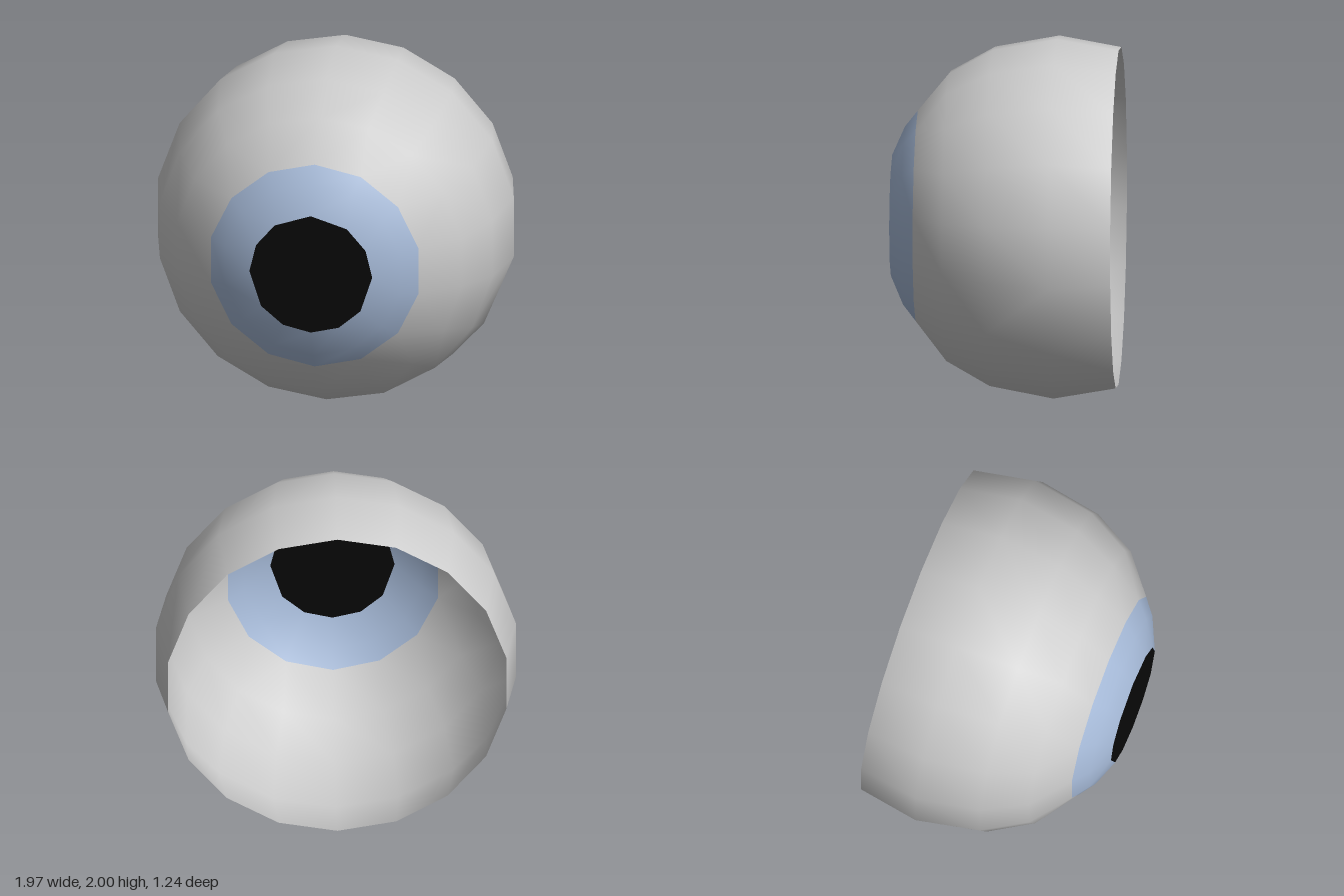
import * as THREE from 'three';

const CENTRE = new THREE.Vector3(0, 1, -0.28);

// Angles run from the top (0) towards +x, in degrees
const even = n => Array.from({ length: n }, (_, i) => (i * 360) / n);
// Mirrors a right-hand half, given from 0 to 180, into a full turn
const mirrored = half => [...half, ...half.slice(1, -1).reverse().map(a => 360 - a)];

const ring = (z, r, angles) => ({ z, r, angles });

// Joins rings, listed back to front, whose corner counts may differ
function shell(rings) {
  const positions = [], normals = [], index = [], starts = [];
  for (const { z, r, angles } of rings) {
    starts.push(positions.length / 3);
    for (const deg of [...angles, 360]) {
      const a = THREE.MathUtils.degToRad(deg);
      const p = new THREE.Vector3(Math.sin(a) * r, 1 + Math.cos(a) * r, z);
      positions.push(...p.toArray());
      normals.push(...p.sub(CENTRE).normalize().toArray());
    }
  }
  for (let k = 0; k + 1 < rings.length; k++) {
    const A = [...rings[k].angles, 360], B = [...rings[k + 1].angles, 360];
    const a0 = starts[k], b0 = starts[k + 1];
    let i = 0, j = 0;
    while (i < A.length - 1 || j < B.length - 1) {
      const stepA = j === B.length - 1 || (i < A.length - 1 && A[i + 1] <= B[j + 1]);
      if (stepA) {
        index.push(a0 + i, b0 + j, a0 + i + 1);
        i++;
      } else {
        index.push(a0 + i, b0 + j, b0 + j + 1);
        j++;
      }
    }
  }
  const g = new THREE.BufferGeometry();
  g.setAttribute('position', new THREE.Float32BufferAttribute(positions, 3));
  g.setAttribute('normal', new THREE.Float32BufferAttribute(normals, 3));
  g.setIndex(index);
  return g;
}

export function createModel() {
  const group = new THREE.Group();
  group.name = 'eyeball';
  const add = (name, geometry, color) => {
    const mesh = new THREE.Mesh(geometry, new THREE.MeshStandardMaterial({ color, side: THREE.DoubleSide }));
    mesh.name = name;
    group.add(mesh);
  };

  const irisEdge = ring(0.48, 0.59, even(14));
  const pupilEdge = ring(0.62, 0.34, mirrored([0, 36, 63, 90, 126, 153, 180]));

  // White of the eye, open at the back
  add('eyeWhite', shell([
    ring(-0.62, 0.94, even(18)),
    ring(-0.28, 1, mirrored([0, 20, 40, 60, 80, 100, 125, 140, 160, 180])),
    ring(0.07, 0.935, even(18)),
    ring(0.31, 0.8, even(18)),
    irisEdge,
  ]), 0xcccccc);

  // Coloured iris band
  add('iris', shell([irisEdge, ring(0.55, 0.5, even(14)), pupilEdge]), 0xa6bad8);

  // Flat pupil closing the front
  const outline = pupilEdge.angles.map(deg => {
    const a = THREE.MathUtils.degToRad(deg);
    return new THREE.Vector2(Math.sin(a) * pupilEdge.r, 1 + Math.cos(a) * pupilEdge.r);
  });
  add('pupil', new THREE.ShapeGeometry(new THREE.Shape(outline)).translate(0, 0, pupilEdge.z), 0x080808);

  return group;
}
